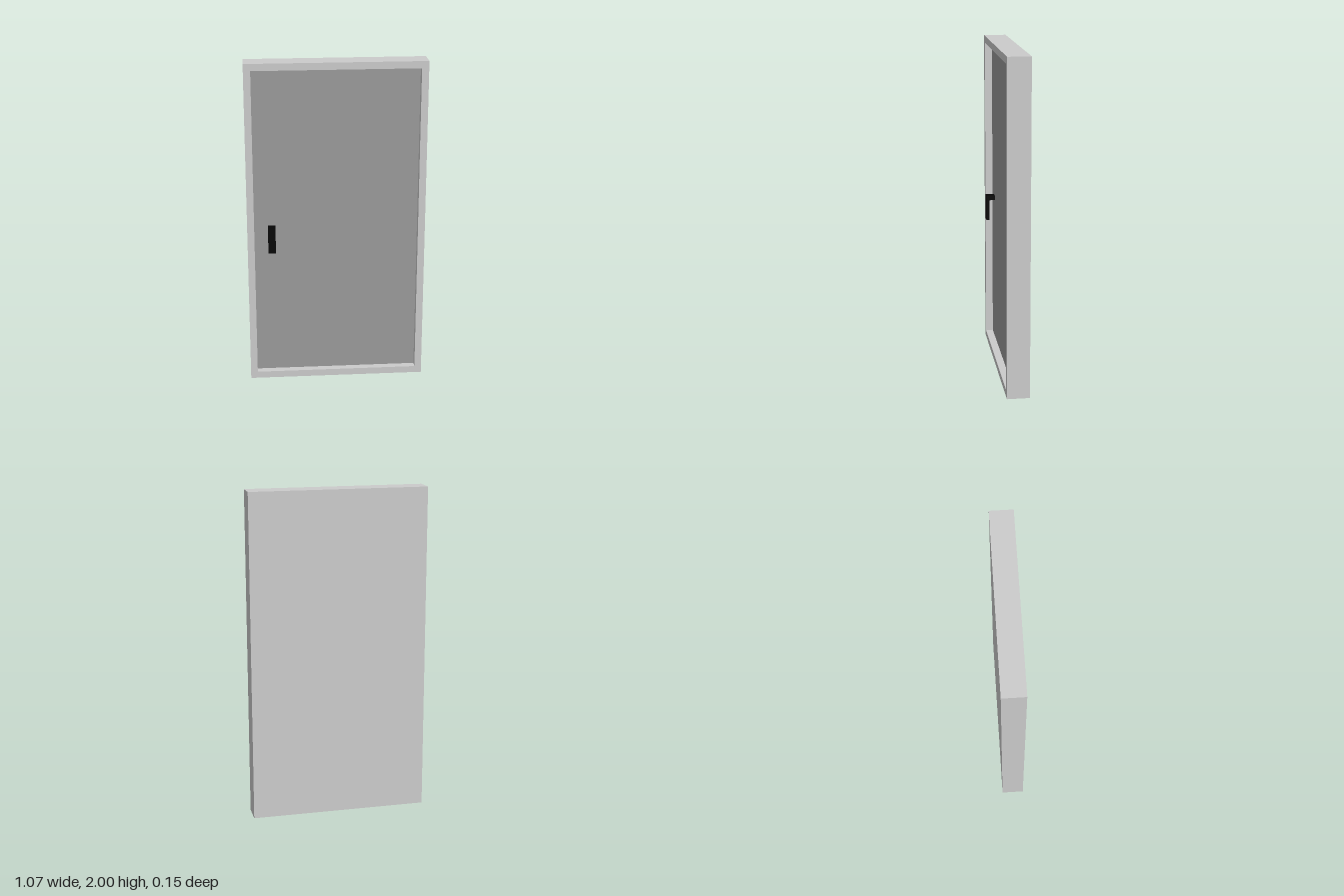
import * as THREE from 'three';

const BACK = -0.073, FRONT = 0.063, PANEL = 0.018, BAR_FRONT = 0.073;
const HALF_W = 0.537, HALF_H = 1, BORDER = 0.042;

// Skin rectangular rings [halfWidth, halfHeight, z] into one flat-shaded shell.
function rectangleLoft(rings) {
  const corners = [[1, 1], [-1, 1], [-1, -1], [1, -1]];
  const positions = [], index = [];
  rings.forEach(([w, h, z], r) => {
    corners.forEach(([sx, sy], i) => {
      positions.push(sx * w, sy * h, z);
      if (r === rings.length - 1) return;
      const a = r * 4 + i, b = r * 4 + (i + 1) % 4;
      if (w > 0) index.push(a, b, b + 4);
      index.push(a, b + 4, a + 4);
    });
  });
  const geometry = new THREE.BufferGeometry();
  geometry.setAttribute('position', new THREE.Float32BufferAttribute(positions, 3));
  geometry.setIndex(index);
  const flat = geometry.toNonIndexed();
  flat.computeVertexNormals();
  return flat;
}

function addMesh(parent, name, geometry, material, x, y, z) {
  const mesh = new THREE.Mesh(geometry, material);
  mesh.name = name;
  mesh.position.set(x, y, z);
  parent.add(mesh);
}

export function createModel() {
  const model = new THREE.Group();
  model.name = 'door';
  const frameMaterial = new THREE.MeshStandardMaterial({ color: 0xcccccc });
  const panelMaterial = new THREE.MeshStandardMaterial({ color: 0x9a9a9a });
  const handleMaterial = new THREE.MeshStandardMaterial({ color: 0x050505 });

  // Frame: closed back, outer sides, front rim and the walls of the recess
  const innerW = HALF_W - BORDER, innerH = HALF_H - BORDER;
  addMesh(model, 'frame', rectangleLoft([
    [0, 0, BACK],
    [HALF_W, HALF_H, BACK],
    [HALF_W, HALF_H, FRONT],
    [innerW, innerH, FRONT],
    [innerW, innerH, PANEL],
  ]), frameMaterial, 0, HALF_H, 0);

  // Recessed door leaf
  addMesh(model, 'doorPanel', new THREE.PlaneGeometry(innerW * 2, innerH * 2),
    panelMaterial, 0, HALF_H, PANEL);

  // Handle: an L profile in depth and height, extruded across its width
  const width = 0.045, top = 1, bottom = 0.84, barBack = BAR_FRONT - 0.02;
  const profile = new THREE.Shape([
    [PANEL, top], [PANEL, top - 0.03], [barBack, top - 0.03],
    [barBack, bottom], [BAR_FRONT, bottom], [BAR_FRONT, top],
  ].map(([z, y]) => new THREE.Vector2(-z, y)));
  const handle = new THREE.ExtrudeGeometry(profile, { depth: width, bevelEnabled: false });
  handle.rotateY(Math.PI / 2);
  addMesh(model, 'handle', handle, handleMaterial, -0.39 - width / 2, 0, 0);

  return model;
}
